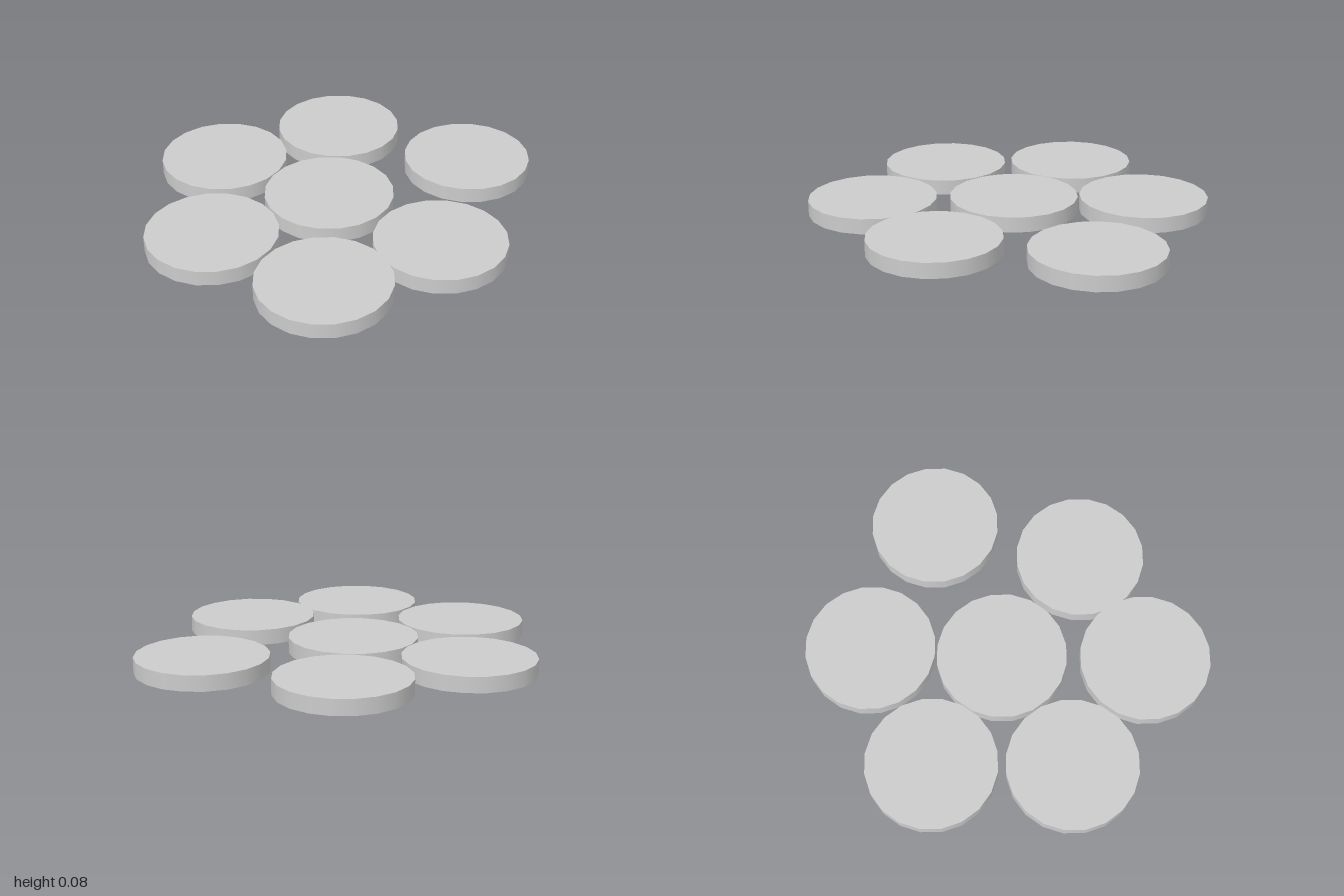
import * as THREE from 'three';

const RADIUS = 0.322;
const HEIGHT = 0.077;
const SIDES = 20;

// Disc centres as [x, z]
const CENTRES = [
  [-0.077, -0.031], // middle
  [0.07, -0.664],
  [-0.561, -0.454],
  [0.678, -0.251],
  [-0.678, 0.212],
  [0.381, 0.447],
  [-0.207, 0.663],
];

export function createModel() {
  const model = new THREE.Group();
  model.name = 'scatteredDiscs';
  const material = new THREE.MeshStandardMaterial({ color: 0xcccccc });

  // One flat disc shared by all, resting on the ground
  const geometry = new THREE.CylinderGeometry(RADIUS, RADIUS, HEIGHT, SIDES);
  geometry.translate(0, HEIGHT / 2, 0);

  CENTRES.forEach(([x, z], i) => {
    const disc = new THREE.Mesh(geometry, material);
    disc.name = `disc${i + 1}`;
    disc.position.set(x, 0, z);
    model.add(disc);
  });
  return model;
}
